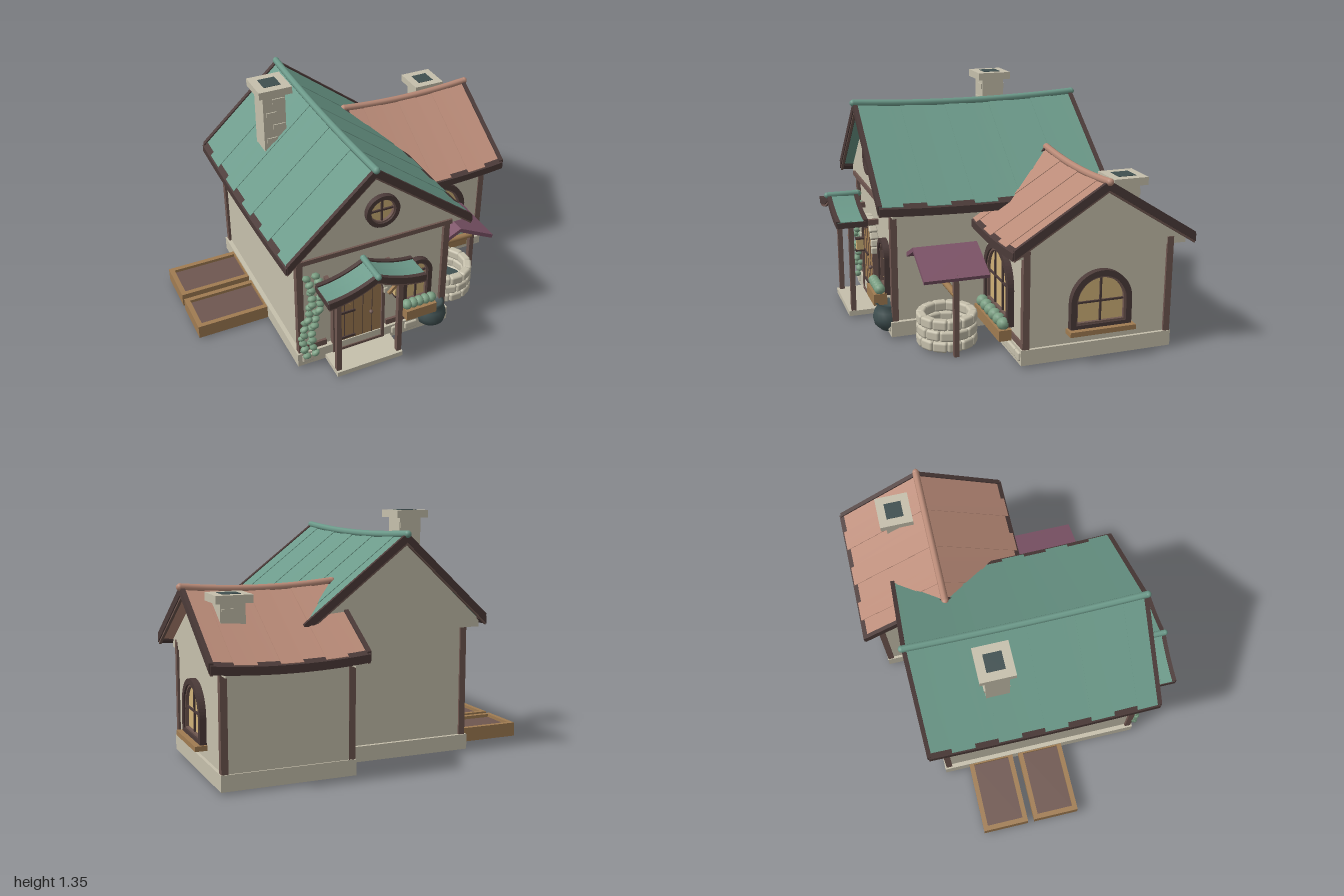
import * as THREE from 'three';
import { RoundedBoxGeometry } from 'three/addons/geometries/RoundedBoxGeometry.js';

const mat = (name, color, side = THREE.FrontSide) => new THREE.MeshStandardMaterial({ name, color, side });
const M = {
  plaster: mat('plaster and stone', 0xc6c0ac), green: mat('green roof', 0x6c9a8a),
  clay: mat('clay roof', 0xba8b78), plum: mat('plum roof', 0x7d5468),
  timber: mat('timber', 0x6f5750), dark: mat('dark trim', 0x4c3b39),
  wood: mat('warm wood', 0xa07c52), glass: mat('lit glass', 0xd0b278),
  slate: mat('dark iron', 0x3f4f50), leaf: mat('leaves', 0x7b9f83),
};

function add(parent, name, geo, material, x = 0, y = 0, z = 0) {
  const m = new THREE.Mesh(geo, material);
  m.name = name;
  m.position.set(x, y, z);
  parent.add(m);
  return m;
}
function group(parent, name, x = 0, y = 0, z = 0) {
  const g = new THREE.Group();
  g.name = name;
  g.position.set(x, y, z);
  parent.add(g);
  return g;
}
// Box given by its limits
const span = (p, name, m, x0, x1, y0, y1, z0, z1) =>
  add(p, name, new THREE.BoxGeometry(x1 - x0, y1 - y0, z1 - z0), m, (x0 + x1) / 2, (y0 + y1) / 2, (z0 + z1) / 2);
const prism = (pts, depth) =>
  new THREE.ExtrudeGeometry(new THREE.Shape(pts.map(p => new THREE.Vector2(...p))), { depth, bevelEnabled: false });

// Gabled roof with its ridge along z: sagging planks, barge boards, eave boards, ridge cap
function roof(parent, name, o) {
  const g = group(parent, name);
  const { wl, wr, ridge, eave, len, sag = 0, flare = 0, n, t = 0.03, trim = 0.034 } = o;
  const slab = (part, m, s, w, dy, thick, z0, z1, u0 = 0, u1 = 1) => {
    const geo = new THREE.BoxGeometry(1, thick, z1 - z0, flare ? 6 : 1, 1, z1 - z0 > 0.5 ? 12 : 2);
    geo.translate(0, 0, (z0 + z1) / 2);
    const p = geo.attributes.position;
    for (let i = 0; i < p.count; i++) {
      const a = p.getX(i) + 0.5, u = u0 + (s > 0 ? a : 1 - a) * (u1 - u0), z = p.getZ(i);
      const y = ridge + (eave - ridge) * u - 4 * flare * u * (1 - u) - sag * (1 - (2 * z / len) ** 2);
      p.setXYZ(i, s * w * u, y + dy + p.getY(i), z);
    }
    geo.computeVertexNormals();
    add(g, part, geo, m);
  };
  for (const [s, w] of [[-1, wl], [1, wr]]) {
    const step = len / n;
    for (let i = 0; i < n; i++) {
      const z = -len / 2 + i * step;
      slab('roofPlank', o.mat, s, w, (i % 2) * 0.004, t, z, z + step);
    }
    for (const e of [-1, 1]) {
      const z = e * (len / 2 - 0.005);
      slab('bargeBoard', M.dark, s, w, 0, trim + 0.016, z - 0.012, z + 0.012);
      slab('bargeBoardLip', M.timber, s, w, -0.02, trim, z - 0.007, z + 0.007);
    }
    slab('eaveBoard', M.dark, s, w, -0.005, trim + 0.008, -len / 2, len / 2, 1 - 0.02 / w, 1.015);
  }
  const pts = [];
  for (let i = 0; i <= 8; i++) {
    const z = (i / 8 - 0.5) * (len + 0.01);
    pts.push(new THREE.Vector3(0, ridge + t * 0.6 - sag * (1 - (2 * z / len) ** 2), z));
  }
  const cap = o.cap ?? 0.02;
  add(g, 'ridgeCap', new THREE.TubeGeometry(new THREE.CatmullRomCurve3(pts), 12, cap, 8), o.mat);
  for (const e of [0, 8]) add(g, 'ridgeEnd', new THREE.SphereGeometry(cap, 10, 6), o.mat, ...pts[e].toArray());
  return g;
}

// Arch outline with its spring line at y = 0; h = 0 gives a full circle
function arch(r, h, P = THREE.Shape) {
  const s = new P();
  if (!h) return s.absarc(0, 0, r, 0, Math.PI * 2), s;
  s.moveTo(-r, -h);
  s.lineTo(r, -h);
  s.absarc(0, 0, r, 0, Math.PI, false);
  s.lineTo(-r, -h);
  return s;
}
const archSolid = (r, h, depth) => new THREE.ExtrudeGeometry(arch(r, h), { depth, bevelEnabled: false, curveSegments: 16 });
function archRing(r, w, h, depth) {
  const s = arch(r, h);
  s.holes.push(arch(r - w, h && h - w, THREE.Path));
  return new THREE.ExtrudeGeometry(s, { depth, bevelEnabled: false, curveSegments: 16 });
}
function windowUnit(parent, name, r, h, w, x, y, z, bars = [0]) {
  const g = group(parent, name, x, y, z);
  add(g, 'frame', archRing(r, w, h, 0.035), M.dark);
  add(g, 'innerFrame', archRing(r - w * 0.8, w * 0.5, h ? h - w * 0.8 : 0, 0.025), M.timber);
  add(g, 'glass', archSolid(r - w, h && h - w, 0.008), M.glass);
  const R = r - w, low = h ? -h + w : -R;
  for (const b of bars) {
    const top = Math.sqrt(R * R - b * b);
    span(g, 'upright', M.dark, b - 0.005, b + 0.005, low, top, 0.006, 0.018);
  }
  span(g, 'crossBar', M.dark, -R, R, -0.005, 0.005, 0.006, 0.018);
  return g;
}
function flowerBox(parent, x0, x1, y0, y1, z0, z1, n, r) {
  const g = group(parent, 'flowerBox');
  span(g, 'trough', M.wood, x0, x1, y0, y1, z0, z1);
  for (let i = 0; i < n; i++) {
    const b = add(g, 'bush', new THREE.SphereGeometry(r, 10, 7), M.leaf,
      x0 + (x1 - x0) * (i + 0.5) / n, y1 + r * 0.75, (z0 + z1) / 2);
    b.scale.set(1, 1, 1.05);
  }
}
function chimney(parent, x, z, y0, y1) {
  const g = group(parent, 'chimney', x, 0, z);
  span(g, 'shaft', M.plaster, -0.066, 0.066, y0, y1 - 0.04, -0.066, 0.066);
  span(g, 'cap', M.plaster, -0.097, 0.097, y1 - 0.042, y1, -0.097, 0.097);
  span(g, 'flue', M.slate, -0.05, 0.05, y1 - 0.002, y1 + 0.002, -0.05, 0.05);
  for (let i = 0; y1 - 0.09 - i * 0.08 > y0 + 0.15; i++)
    span(g, 'brick', M.plaster, i % 2 ? -0.05 : -0.01, i % 2 ? 0.01 : 0.06, y1 - 0.1 - i * 0.08, y1 - 0.07 - i * 0.08, -0.072, 0.072);
}

export function createModel() {
  const root = new THREE.Group();
  root.name = 'cottage';

  // Main house
  const house = group(root, 'mainHouse');
  span(house, 'foundation', M.plaster, -0.58, 0.36, 0.025, 0.11, -0.565, 0.625);
  add(house, 'walls', prism([[-0.555, 0.1], [0.335, 0.1], [0.335, 0.79], [-0.157, 1.16], [-0.555, 0.8]], 1.14), M.plaster, 0, 0, -0.545);
  const gable = [[-0.64, 0.72], [0.42, 0.72], [0.42, 0.76], [-0.157, 1.21], [-0.64, 0.76]];
  for (const z of [0.58, -0.57]) add(house, 'gable', prism(gable, 0.04), M.plaster, 0, 0, z);
  for (const x of [-0.552, 0.328]) for (const z of [-0.538, 0.598])
    span(house, 'cornerPost', M.timber, x - 0.018, x + 0.018, 0.1, 0.74, z - 0.018, z + 0.018);
  span(house, 'topBeam', M.timber, -0.57, 0.35, 0.72, 0.748, 0.6, 0.632);
  span(house, 'sideBeam', M.timber, 0.33, 0.352, 0.73, 0.76, 0.05, 0.61);
  for (const [a, b] of [[-0.56, -0.4], [-0.03, 0.34]]) span(house, 'baseBeam', M.timber, a, b, 0.11, 0.145, 0.59, 0.61);
  for (const [x, w] of [[-0.52, 0.07], [0.03, 0.07], [0.12, 0.08], [0.31, 0.05]])
    add(house, 'footingStone', new RoundedBoxGeometry(w, 0.05, 0.03, 2, 0.01), M.plaster, x, 0.072, 0.62);
  roof(house, 'mainRoof', { wl: 0.49, wr: 0.585, ridge: 1.225, eave: 0.775, len: 1.32, sag: 0.022, n: 10, mat: M.green }).position.set(-0.157, 0, 0.032);
  chimney(house, -0.372, -0.187, 0.85, 1.357);
  windowUnit(house, 'roundWindow', 0.097, 0, 0.024, -0.085, 0.94, 0.615);
  windowUnit(house, 'smallWindow', 0.092, 0.21, 0.026, 0.15, 0.438, 0.595);
  flowerBox(house, 0.055, 0.245, 0.175, 0.24, 0.62, 0.695, 5, 0.03);

  // Side wing
  const wing = group(root, 'sideWing');
  span(wing, 'foundation', M.plaster, 0.2, 0.922, 0.025, 0.11, -0.775, 0.08);
  const ends = group(wing, 'wingWalls', 0, 0, -0.352);
  ends.rotation.y = Math.PI / 2;
  add(ends, 'walls', prism([[-0.415, 0.1], [0.415, 0.1], [0.415, 0.66], [0, 0.92], [-0.415, 0.66]], 0.69), M.plaster, 0, 0, 0.215);
  for (const z of [0.205, 0.88])
    add(ends, 'gable', prism([[-0.49, 0.6], [0.49, 0.6], [0.49, 0.645], [0, 0.955], [-0.49, 0.645]], 0.032), M.plaster, 0, 0, z);
  roof(ends, 'wingRoof', { wl: 0.5, wr: 0.5, ridge: 0.968, eave: 0.655, len: 0.825, sag: 0.022, n: 7, mat: M.clay }).position.z = 0.575;
  for (const x of [0.222, 0.9]) for (const z of [-0.753, 0.052])
    span(wing, 'cornerPost', M.timber, x - 0.018, x + 0.018, 0.1, 0.64, z - 0.018, z + 0.018);
  span(wing, 'topBeam', M.timber, 0.34, 0.915, 0.615, 0.65, 0.055, 0.08);
  span(wing, 'baseBeam', M.timber, 0.34, 0.915, 0.11, 0.145, 0.05, 0.072);
  for (const [x, w] of [[0.6, 0.08], [0.7, 0.06], [0.79, 0.12], [0.88, 0.06]])
    add(wing, 'footingStone', new RoundedBoxGeometry(w, 0.05, 0.03, 2, 0.01), M.plaster, x, 0.072, 0.077);
  chimney(wing, 0.79, -0.525, 0.72, 0.965);
  windowUnit(wing, 'frontWindow', 0.2, 0.2, 0.034, 0.572, 0.38, 0.065, [-0.06, 0.06]);
  flowerBox(wing, 0.37, 0.78, 0.11, 0.17, 0.08, 0.15, 6, 0.034);
  const side = windowUnit(wing, 'endWindow', 0.172, 0.15, 0.032, 0.917, 0.338, -0.352);
  side.rotation.y = Math.PI / 2;
  span(side, 'sill', M.wood, -0.185, 0.185, -0.165, -0.138, 0, 0.065);

  // Porch and door
  const porch = group(root, 'porch', -0.215, 0, 0);
  span(porch, 'step', M.plaster, -0.2, 0.2, 0.022, 0.052, 0.6, 0.787);
  for (const s of [-1, 1]) {
    span(porch, 'post', M.timber, s * 0.183 - 0.014, s * 0.183 + 0.014, 0.05, 0.6, 0.745, 0.773);
    span(porch, 'sideBeam', M.timber, s * 0.183 - 0.012, s * 0.183 + 0.012, 0.56, 0.59, 0.6, 0.8);
    const brace = add(porch, 'brace', new THREE.BoxGeometry(0.016, 0.1, 0.016), M.wood, s * 0.15, 0.515, 0.757);
    brace.rotation.z = -s * 0.8;
  }
  roof(porch, 'porchRoof', { wl: 0.275, wr: 0.285, ridge: 0.69, eave: 0.605, flare: 0.018, len: 0.165, n: 2, t: 0.022, trim: 0.024, cap: 0.018, mat: M.green }).position.z = 0.768;
  span(porch, 'lantern', M.glass, 0.17, 0.196, 0.42, 0.48, 0.69, 0.73);
  for (const y of [0.41, 0.48]) span(porch, 'lanternPlate', M.dark, 0.168, 0.198, y, y + 0.01, 0.685, 0.735);
  const door = group(porch, 'door', 0.003, 0.395, 0.597);
  add(door, 'leaf', archSolid(0.143, 0.345, 0.022), M.wood);
  add(door, 'jamb', archRing(0.158, 0.018, 0.345, 0.035), M.timber);
  for (let i = 0; i < 13; i++) {
    const a = Math.PI * i / 12;
    const st = add(door, 'archStone', new RoundedBoxGeometry(0.026, 0.04, 0.05, 2, 0.008), M.plaster, 0.16 * Math.cos(a), 0.16 * Math.sin(a), 0.02);
    st.rotation.z = a;
  }
  for (const x of [-0.084, -0.028, 0.028, 0.084]) span(door, 'plankGap', M.dark, x - 0.0015, x + 0.0015, -0.34, 0.1, 0.021, 0.024);
  for (const y of [-0.085, -0.265]) span(door, 'hinge', M.dark, -0.125, -0.02, y - 0.007, y + 0.007, 0.02, 0.03);
  add(door, 'knob', new THREE.SphereGeometry(0.012, 10, 8), M.timber, 0.075, -0.13, 0.033);

  // Climbing ivy
  const ivy = group(root, 'ivy');
  for (let i = 0; i < 34; i++) {
    const y = 0.09 + i * 0.0165;
    const x = -0.495 + 0.03 * Math.sin(y * 11 + 2.4) + (i % 2 ? 0.026 : -0.026);
    const l = add(ivy, 'leaf', new THREE.SphereGeometry(0.026, 8, 6), M.leaf, x, y, 0.63 + 0.014 * Math.sin(i * 2.1));
    l.scale.set(1, 0.68, 0.8);
    l.rotation.z = 0.5 * Math.sin(i * 1.7);
  }

  // Cauldron
  const pot = [[0, 0.03], [0.045, 0.037], [0.08, 0.07], [0.09, 0.11], [0.08, 0.15], [0.062, 0.175], [0.075, 0.19], [0.06, 0.19], [0.05, 0.17], [0, 0.165]];
  add(root, 'cauldron', new THREE.LatheGeometry(pot.map(p => new THREE.Vector2(...p)), 20), M.slate, 0.255, 0, 0.615);

  // Well
  const well = group(root, 'well', 0.493, 0, 0.35);
  for (let row = 0; row < 3; row++) for (let i = 0; i < 12; i++) {
    const a = (i + (row % 2) / 2) / 12 * Math.PI * 2;
    const st = add(well, 'wellStone', new RoundedBoxGeometry(0.08, 0.058, 0.05, 2, 0.014), M.plaster,
      0.14 * Math.sin(a), 0.052 + row * 0.062, 0.14 * Math.cos(a));
    st.rotation.y = a;
  }
  add(well, 'water', new THREE.CylinderGeometry(0.125, 0.125, 0.04, 20), M.slate, 0, 0.055, 0);
  for (const x of [-0.187, 0.177]) span(well, 'post', M.timber, x - 0.014, x + 0.014, 0.01, 0.47, -0.014, 0.014);
  add(well, 'windlass', new THREE.CylinderGeometry(0.018, 0.018, 0.36, 10).rotateZ(Math.PI / 2), M.wood, -0.005, 0.355, 0);
  add(well, 'wellRoof', prism([[-0.228, 0.44], [-0.015, 0.548], [0.2, 0.44], [0.21, 0.46], [-0.015, 0.573], [-0.238, 0.46]], 0.356), M.plum, 0, 0, -0.178);

  // Raised garden beds
  for (const z of [-0.28, 0.03]) {
    const bed = group(root, 'gardenBed', 0, 0, z);
    for (const s of [-0.122, 0.122]) span(bed, 'longBoard', M.wood, -1, -0.56, 0.02, 0.1, s - 0.014, s + 0.014);
    for (const x of [-0.986, -0.574]) span(bed, 'endBoard', M.wood, x - 0.014, x + 0.014, 0.02, 0.1, -0.11, 0.11);
    span(bed, 'soil', M.timber, -0.98, -0.58, 0.025, 0.082, -0.11, 0.11);
  }
  return root;
}
